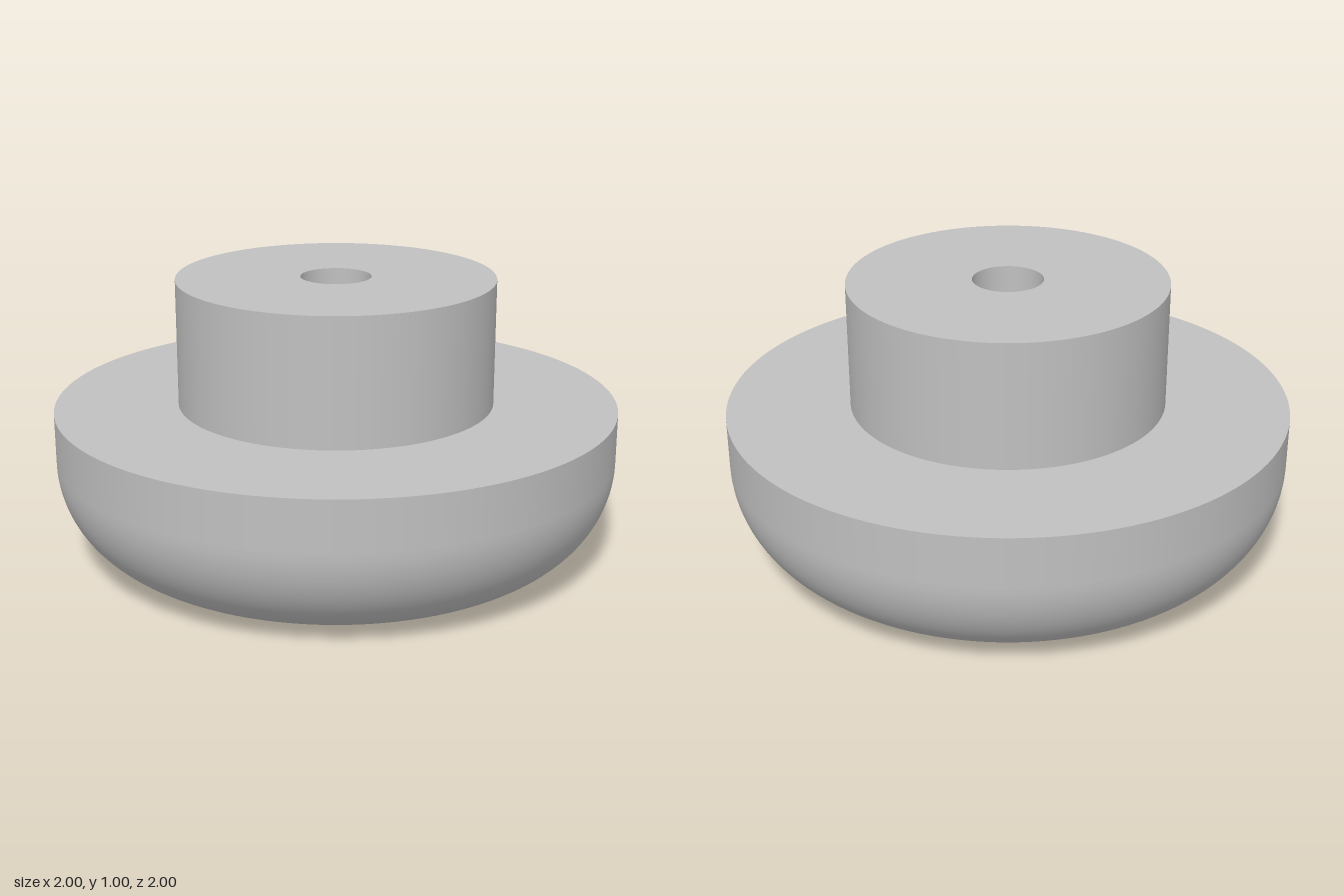
import * as THREE from 'three';

const SEGMENTS = 128;

export function createModel() {
  const group = new THREE.Group();
  group.name = 'roundFoot';
  const grey = new THREE.MeshStandardMaterial({ color: 0xc0c0c0 });
  grey.name = 'plain grey';

  // Each smooth run of the profile is its own lathe, so edges between runs stay sharp
  const revolve = (parent, name, points) => {
    const profile = points.map(([r, y]) => new THREE.Vector2(r, y));
    const mesh = new THREE.Mesh(new THREE.LatheGeometry(profile, SEGMENTS), grey);
    mesh.name = name;
    parent.add(mesh);
  };
  const part = (name) => {
    const g = new THREE.Group();
    g.name = name;
    group.add(g);
    return g;
  };

  const baseR = 1, baseTop = 0.55, round = 0.37;
  const hubR = 0.563, hubTop = 1;
  const holeR = 0.125, holeFloor = 0.4;

  // Wide base with a rounded lower edge
  const base = part('base');
  const fillet = [];
  for (let i = 0; i <= 32; i++) {
    const a = (i / 32) * Math.PI / 2;
    fillet.push([baseR - round + round * Math.sin(a), round - round * Math.cos(a)]);
  }
  revolve(base, 'baseUnderside', [[0, 0], [baseR - round, 0]]);
  revolve(base, 'baseRoundedEdge', fillet);
  revolve(base, 'baseWall', [[baseR, round], [baseR, baseTop]]);
  revolve(base, 'baseTop', [[baseR, baseTop], [hubR, baseTop]]);

  // Raised hub
  const hub = part('hub');
  revolve(hub, 'hubWall', [[hubR, baseTop], [hubR, hubTop]]);
  revolve(hub, 'hubTop', [[hubR, hubTop], [holeR, hubTop]]);

  // Blind centre hole
  const hole = part('centreHole');
  revolve(hole, 'holeWall', [[holeR, hubTop], [holeR, holeFloor]]);
  revolve(hole, 'holeFloor', [[holeR, holeFloor], [0, holeFloor]]);

  return group;
}
